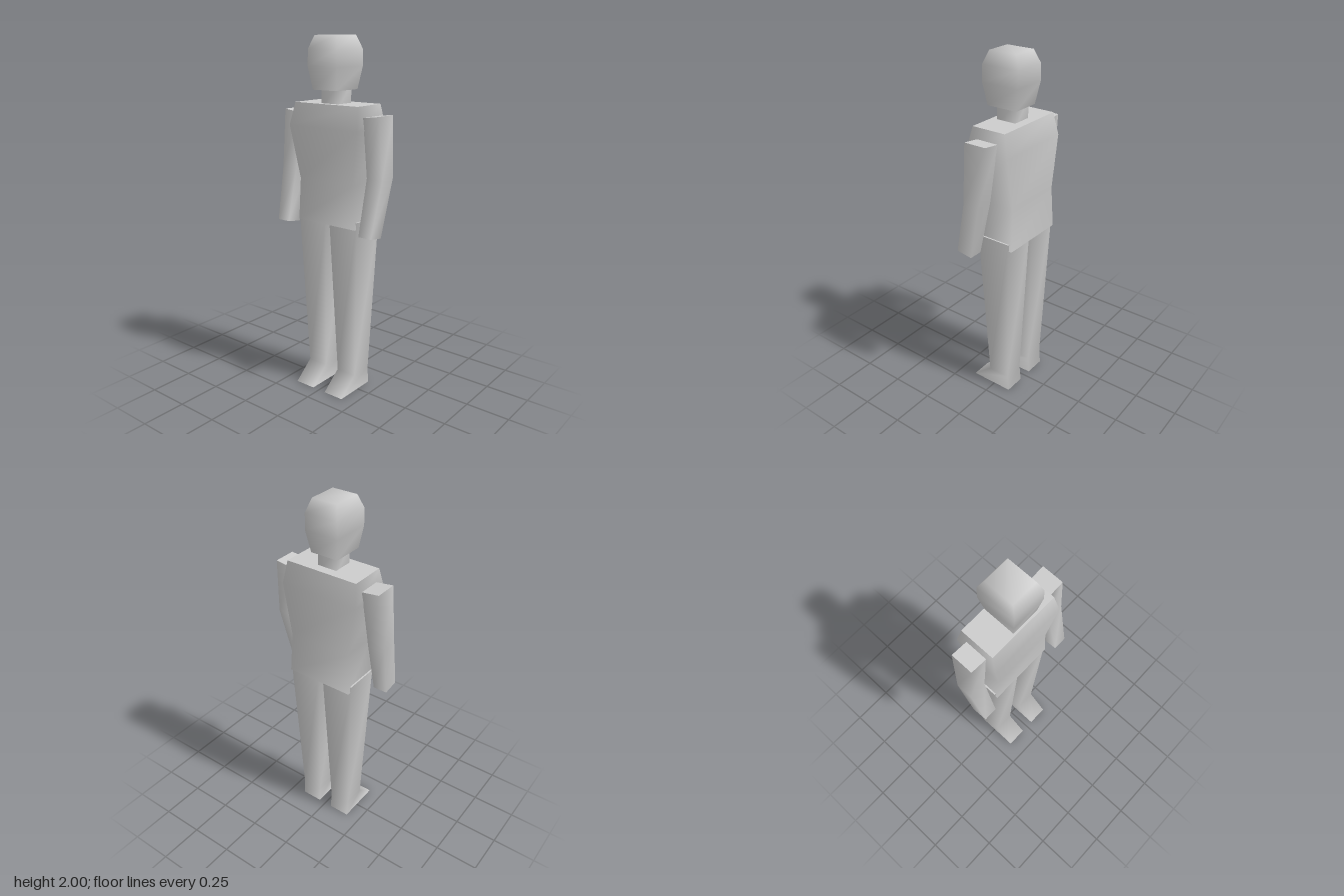
import * as THREE from 'three';

const grey = new THREE.MeshStandardMaterial({ color: 0xcccccc });
grey.name = 'light grey';

// Stack of rectangular rings, bottom to top: [y, x0, x1, z0, z1, slopeX, slopeZ].
// Sides are smooth; the bottom cap is sharp, the top cap too unless smoothTop is set.
function loft(name, rings, smoothTop = false) {
  const pos = [], index = [];
  const addRing = ([y, x0, x1, z0, z1, sx = 0, sz = 0]) => {
    const start = pos.length / 3;
    const cx = (x0 + x1) / 2, cz = (z0 + z1) / 2;
    for (const [x, z] of [[x0, z1], [x1, z1], [x1, z0], [x0, z0]]) {
      pos.push(x, y + (x - cx) * sx + (z - cz) * sz, z);
    }
    return start;
  };
  const starts = rings.map(addRing);
  for (let r = 0; r < rings.length - 1; r++) {
    for (let i = 0; i < 4; i++) {
      const a = starts[r] + i, b = starts[r] + (i + 1) % 4;
      const c = starts[r + 1] + (i + 1) % 4, d = starts[r + 1] + i;
      index.push(a, b, c, a, c, d);
    }
  }
  const last = rings.length - 1;
  const t = smoothTop ? starts[last] : addRing(rings[last]);
  const b = addRing(rings[0]);
  index.push(t, t + 1, t + 2, t, t + 2, t + 3);
  index.push(b, b + 2, b + 1, b, b + 3, b + 2);
  const geo = new THREE.BufferGeometry();
  geo.setAttribute('position', new THREE.Float32BufferAttribute(pos, 3));
  geo.setIndex(index);
  geo.computeVertexNormals();
  const mesh = new THREE.Mesh(geo, grey);
  mesh.name = name;
  return mesh;
}

// Mirror a limb's rings to the other side
const flip = (rings) => rings.map(([y, x0, x1, z0, z1, sx = 0, sz = 0]) =>
  [y, -x1, -x0, z0, z1, -sx, sz]);

export function createModel() {
  const model = new THREE.Group();
  model.name = 'figure';

  // Head, neck and torso
  model.add(loft('head', [
    [1.72, -0.08, 0.08, -0.093, 0.087],
    [1.84, -0.098, 0.098, -0.115, 0.106],
    [1.93, -0.095, 0.095, -0.117, 0.107],
    [2.0, -0.073, 0.073, -0.087, 0.077],
  ], true));
  model.add(loft('neck', [
    [1.62, -0.056, 0.056, -0.07, 0.045],
    [1.75, -0.056, 0.056, -0.07, 0.045],
  ]));
  model.add(loft('torso', [
    [0.99, -0.197, 0.197, -0.151, 0.078],
    [1.23, -0.18, 0.18, -0.146, 0.08],
    [1.525, -0.229, 0.229, -0.147, 0.11],
    [1.648, -0.212, 0.212, -0.122, 0.08],
  ]));

  // Arms, bent slightly forward at the elbow
  const arm = [
    [0.965, 0.247, 0.327, 0.02, 0.112, 0, 0.16],
    [1.275, 0.247, 0.346, -0.053, 0.042],
    [1.595, 0.221, 0.319, -0.084, 0.045, 0.13, 0],
  ];
  // Legs with wedge-shaped feet
  const leg = [
    [0, 0.043, 0.167, -0.108, 0.15],
    [0.1, 0.045, 0.168, -0.1, 0.03],
    [1.03, 0.012, 0.203, -0.135, 0.066],
  ];
  model.add(loft('leftArm', arm), loft('rightArm', flip(arm)));
  model.add(loft('leftLeg', leg), loft('rightLeg', flip(leg)));
  return model;
}
